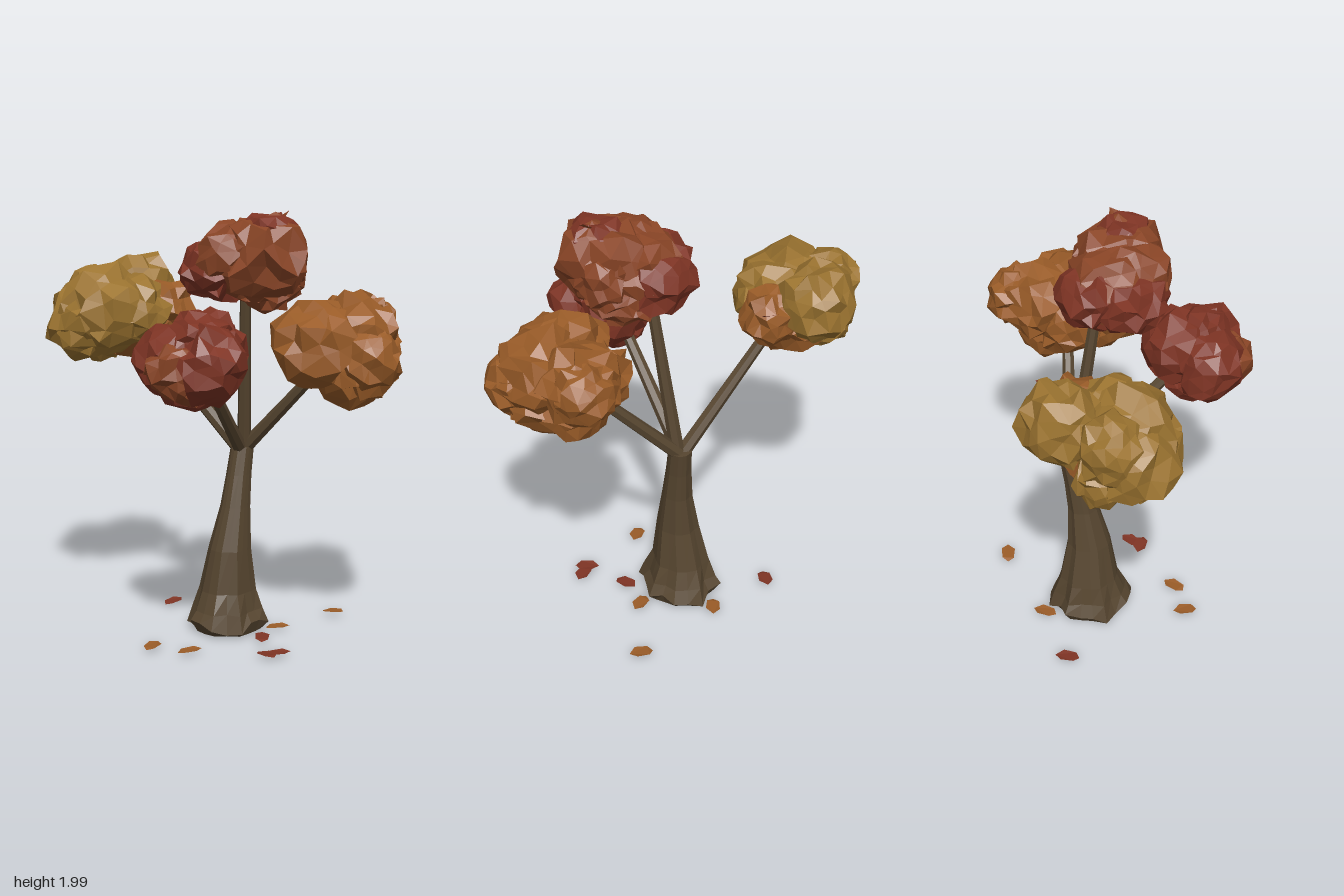
import * as THREE from 'three';

const GOLD = 0x9c7430, ORANGE = 0x9a5c28, RUST = 0x8a4526, RED = 0x7f3424, BARK = 0x574630;

const material = (color, side = THREE.FrontSide) =>
  new THREE.MeshStandardMaterial({ color, flatShading: true, roughness: 1, side });

// Repeatable pseudo-random value 0..1 from a position and a seed
function hash(x, y, z, seed) {
  const s = Math.sin(Math.round(x * 1000) * 0.1271 + Math.round(y * 1000) * 0.3117
    + Math.round(z * 1000) * 0.0747 + seed * 17.31) * 43758.5453;
  return s - Math.floor(s);
}

function addMesh(parent, name, geometry, mat) {
  const mesh = new THREE.Mesh(geometry, mat);
  mesh.name = name;
  parent.add(mesh);
  return mesh;
}

// Crumpled faceted clump of leaves; each corner is pushed by its own hash
function clumpGeometry(rx, ry, rz, seed) {
  const g = new THREE.IcosahedronGeometry(1, 2);
  const p = g.attributes.position;
  for (let i = 0; i < p.count; i++) {
    const x = p.getX(i), y = p.getY(i), z = p.getZ(i);
    const swell = 0.87 + 0.22 * hash(x, y, z, seed);
    const off = k => (hash(x, y, z, seed + k) - 0.5) * 0.24;
    p.setXYZ(i, (x * swell + off(1)) * rx, (y * swell + off(2)) * ry, (z * swell + off(3)) * rz);
  }
  g.computeVertexNormals();
  return g;
}

// Leaning trunk: rings of [y, x, z, radius, groove depth]
function trunkGeometry() {
  const rings = [
    [0.01, 0.045, -0.085, 0.16, 0.05],
    [0.045, 0.045, -0.085, 0.192, 0.09],
    [0.11, 0.045, -0.087, 0.163, 0.11],
    [0.2, 0.045, -0.092, 0.134, 0.06],
    [0.4, 0.055, -0.083, 0.1, 0.05],
    [0.6, 0.08, -0.098, 0.07, 0.05],
    [0.75, 0.096, -0.118, 0.059, 0.04],
    [0.88, 0.112, -0.137, 0.054, 0.03],
  ];
  const n = rings.length - 1, sides = 18;
  const g = new THREE.CylinderGeometry(1, 1, 1, sides, n);
  const p = g.attributes.position;
  for (let i = 0; i < p.count; i++) {
    const level = Math.round((p.getY(i) + 0.5) * n);
    const [y, cx, cz, r, groove] = rings[level];
    const x = p.getX(i), z = p.getZ(i);
    const step = Math.round(Math.atan2(z, x) / (Math.PI * 2) * sides + sides) % sides;
    const lobe = 1 + groove * [1, 0.3, -1][step % 3];
    // root toes reach slightly different heights
    const lift = level === 1 ? 0.0125 * ((step * 7) % 5 - 2) : 0;
    p.setXYZ(i, cx + x * r * lobe, y + lift, cz + z * r * lobe);
  }
  g.computeVertexNormals();
  return g;
}

// Tapered branch between two points
function addBranch(parent, from, to, r0, r1) {
  const a = new THREE.Vector3(...from), b = new THREE.Vector3(...to);
  const dir = b.clone().sub(a);
  const mesh = addMesh(parent, 'branch', new THREE.CylinderGeometry(r1, r0, dir.length(), 7), material(BARK));
  mesh.position.copy(a).add(b).multiplyScalar(0.5);
  mesh.quaternion.setFromUnitVectors(new THREE.Vector3(0, 1, 0), dir.normalize());
}

// Small pointed leaf, slightly folded along its length
function leafGeometry() {
  const s = new THREE.Shape();
  s.moveTo(-0.055, 0);
  [[-0.03, 0.03], [0.03, 0.035], [0.06, 0.005], [0.025, -0.032], [-0.035, -0.028]].forEach(q => s.lineTo(...q));
  const g = new THREE.ShapeGeometry(s);
  g.rotateX(-Math.PI / 2);
  const p = g.attributes.position;
  for (let i = 0; i < p.count; i++) p.setY(i, Math.abs(p.getZ(i)) * 0.2);
  g.computeVertexNormals();
  return g;
}

export function createModel() {
  const tree = new THREE.Group();
  tree.name = 'autumnTree';
  addMesh(tree, 'trunk', trunkGeometry(), material(BARK));

  // Branches fan out from the trunk top
  const branches = new THREE.Group();
  branches.name = 'branches';
  tree.add(branches);
  addBranch(branches, [0.1, 0.86, -0.14], [-0.42, 1.46, -0.33], 0.034, 0.024);
  addBranch(branches, [0.12, 0.86, -0.13], [0.125, 1.66, 0.02], 0.034, 0.024);
  addBranch(branches, [0.125, 0.87, -0.135], [0.54, 1.38, 0.13], 0.034, 0.024);
  addBranch(branches, [0.105, 0.86, -0.13], [-0.08, 1.38, 0.4], 0.034, 0.024);

  // Crowns: clumps as [color, x, y, z, rx, ry, rz]
  const crowns = {
    goldCrown: [
      [GOLD, -0.53, 1.49, -0.26, 0.22, 0.21, 0.21],
      [GOLD, -0.39, 1.56, -0.51, 0.18, 0.18, 0.17],
      [GOLD, -0.63, 1.44, -0.3, 0.18, 0.18, 0.2],
      [GOLD, -0.4, 1.51, -0.27, 0.17, 0.16, 0.18],
      [GOLD, -0.62, 1.53, -0.42, 0.15, 0.16, 0.14],
      [ORANGE, -0.27, 1.49, -0.35, 0.14, 0.14, 0.13],
      [GOLD, -0.58, 1.37, -0.43, 0.13, 0.14, 0.13],
      [ORANGE, -0.44, 1.41, -0.38, 0.18, 0.15, 0.17],
    ],
    topCrown: [
      [RUST, 0.2, 1.79, 0.2, 0.2, 0.2, 0.2],
      [RUST, 0.11, 1.77, 0.08, 0.19, 0.18, 0.2],
      [RED, -0.01, 1.73, 0.11, 0.16, 0.14, 0.17],
      [RUST, 0.07, 1.81, 0.18, 0.16, 0.13, 0.17],
      [RED, 0.11, 1.73, -0.04, 0.16, 0.15, 0.13],
      [RUST, 0.22, 1.65, 0.1, 0.15, 0.11, 0.16],
      [RED, 0.22, 1.88, 0.22, 0.13, 0.11, 0.14],
      [RUST, 0.29, 1.75, 0.15, 0.11, 0.15, 0.14],
    ],
    orangeCrown: [
      [ORANGE, 0.6, 1.45, 0.0, 0.2, 0.17, 0.18],
      [ORANGE, 0.45, 1.42, 0.25, 0.21, 0.2, 0.2],
      [ORANGE, 0.62, 1.43, 0.19, 0.19, 0.19, 0.22],
      [ORANGE, 0.6, 1.31, 0.2, 0.19, 0.17, 0.2],
      [ORANGE, 0.67, 1.36, 0.31, 0.14, 0.16, 0.15],
      [ORANGE, 0.68, 1.46, -0.07, 0.13, 0.14, 0.13],
      [ORANGE, 0.45, 1.38, 0.08, 0.16, 0.15, 0.15],
      [ORANGE, 0.6, 1.31, 0.05, 0.15, 0.15, 0.15],
    ],
    redCrown: [
      [RED, -0.04, 1.4, 0.37, 0.18, 0.18, 0.18],
      [RED, -0.2, 1.37, 0.41, 0.16, 0.16, 0.17],
      [RED, -0.02, 1.37, 0.53, 0.15, 0.17, 0.15],
      [RED, -0.07, 1.46, 0.45, 0.15, 0.12, 0.14],
      [RUST, -0.15, 1.34, 0.51, 0.14, 0.14, 0.13],
      [RED, -0.09, 1.27, 0.4, 0.15, 0.12, 0.15],
    ],
  };
  let seed = 1;
  for (const [name, clumps] of Object.entries(crowns)) {
    const crown = new THREE.Group();
    crown.name = name;
    tree.add(crown);
    for (const [color, x, y, z, rx, ry, rz] of clumps) {
      addMesh(crown, 'leafClump', clumpGeometry(rx, ry, rz, seed), material(color)).position.set(x, y, z);
      seed += 5;
    }
  }

  // Loose leaves: [name, color, x, y, z, turn, tilt]
  const leaf = leafGeometry();
  const leaves = [
    ['fallenLeaf', ORANGE, -0.29, 0.025, 0.25, 1.1, 0.05],
    ['fallenLeaf', ORANGE, -0.12, 0.025, 0.31, 0.3, 0.08],
    ['fallenLeaf', RED, 0.28, 0.025, 0.33, 0.2, 0.06],
    ['fallenLeaf', RED, 0.23, 0.025, 0.35, 2.2, -0.05],
    ['fallenLeaf', RED, 0.21, 0.025, 0.12, 1.5, 0.07],
    ['fallenLeaf', ORANGE, 0.28, 0.025, -0.03, 0.1, 0.05],
    ['fallenLeaf', ORANGE, 0.55, 0.03, -0.25, -0.6, 0.12],
    ['fallenLeaf', ORANGE, 0.09, 0.025, -0.32, 0.6, 0.06],
    ['fallenLeaf', RED, -0.23, 0.025, -0.4, 0.8, 0.08],
    ['crownLeaf', RED, -0.15, 1.56, -0.42, 0.9, 0.6],
    ['crownLeaf', RUST, 0.28, 1.95, 0.23, 0.2, 0.9],
    ['crownLeaf', ORANGE, 0.77, 1.42, 0.28, 0.9, 0.5],
  ];
  for (const [name, color, x, y, z, turn, tilt] of leaves) {
    const mesh = addMesh(tree, name, leaf, material(color, THREE.DoubleSide));
    mesh.position.set(x, y, z);
    mesh.rotation.set(0, turn, tilt, 'YXZ');
  }
  return tree;
}
